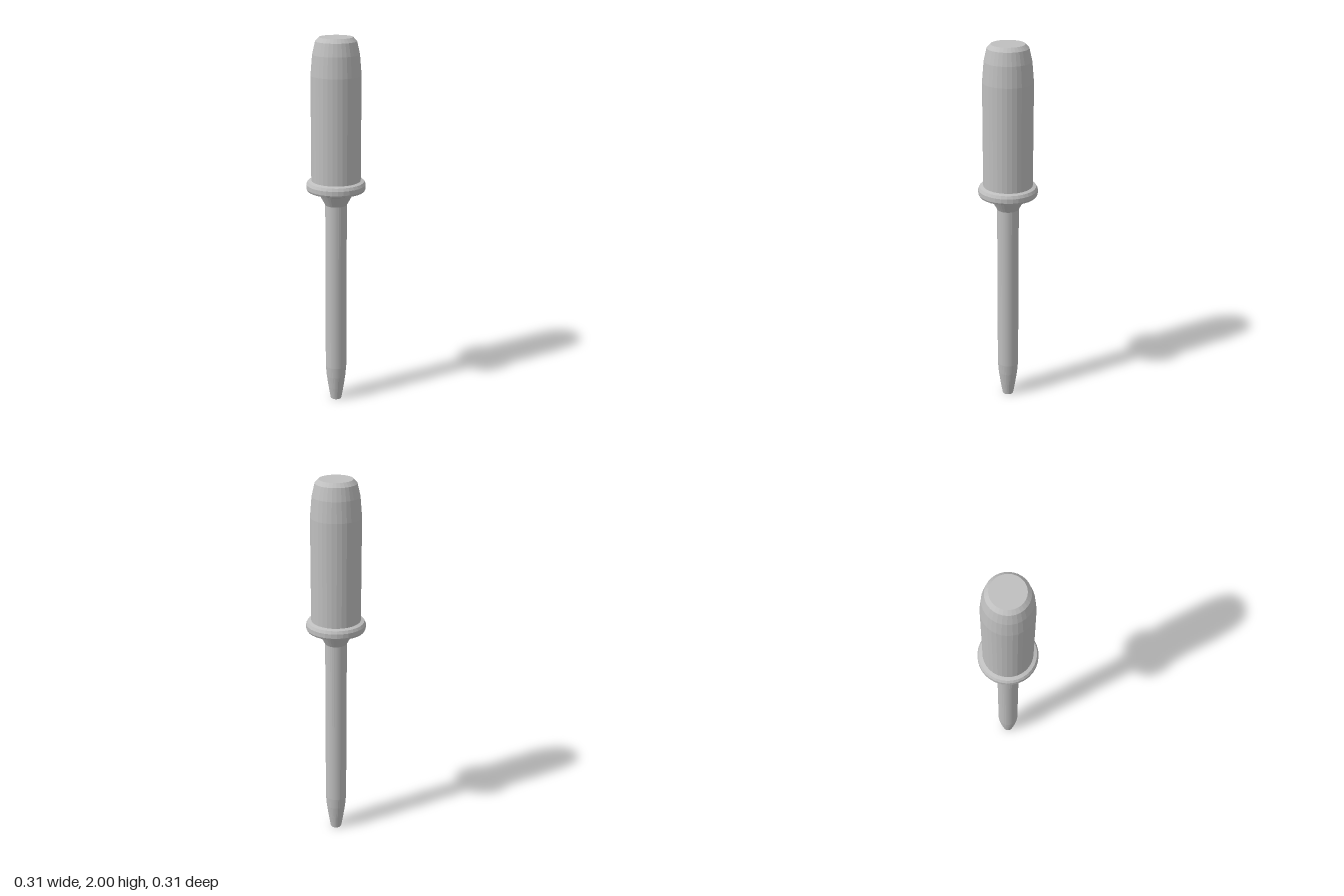
import * as THREE from 'three';

const SIDES = 32;

export function createModel() {
  const group = new THREE.Group();
  const grey = new THREE.MeshStandardMaterial({ color: 0xbfbfbf, flatShading: true });
  grey.name = 'grey metal';

  // Each part is turned from [radius, height] pairs, listed bottom to top
  const turn = (name, profile) => {
    const points = profile.map(([r, y]) => new THREE.Vector2(r, y));
    const mesh = new THREE.Mesh(new THREE.LatheGeometry(points, SIDES), grey);
    mesh.name = name;
    group.add(mesh);
  };

  // Thin pin with a rounded taper at the tip and a flare under the collar
  turn('shaft', [
    [0, 0], [0.03, 0], [0.042, 0.07], [0.052, 0.14], [0.057, 0.2],
    [0.057, 1.13], [0.09, 1.19],
  ]);

  // Flange with a conical underside and a small bevel on top
  turn('collar', [
    [0.09, 1.19], [0.15, 1.21], [0.155, 1.22], [0.155, 1.243],
    [0.147, 1.258], [0.129, 1.264],
  ]);

  // Thick barrel, rounded off to a flat end
  turn('barrel', [
    [0.129, 1.264], [0.129, 1.81], [0.12, 1.915], [0.105, 1.98],
    [0.086, 2], [0, 2],
  ]);

  return group;
}
